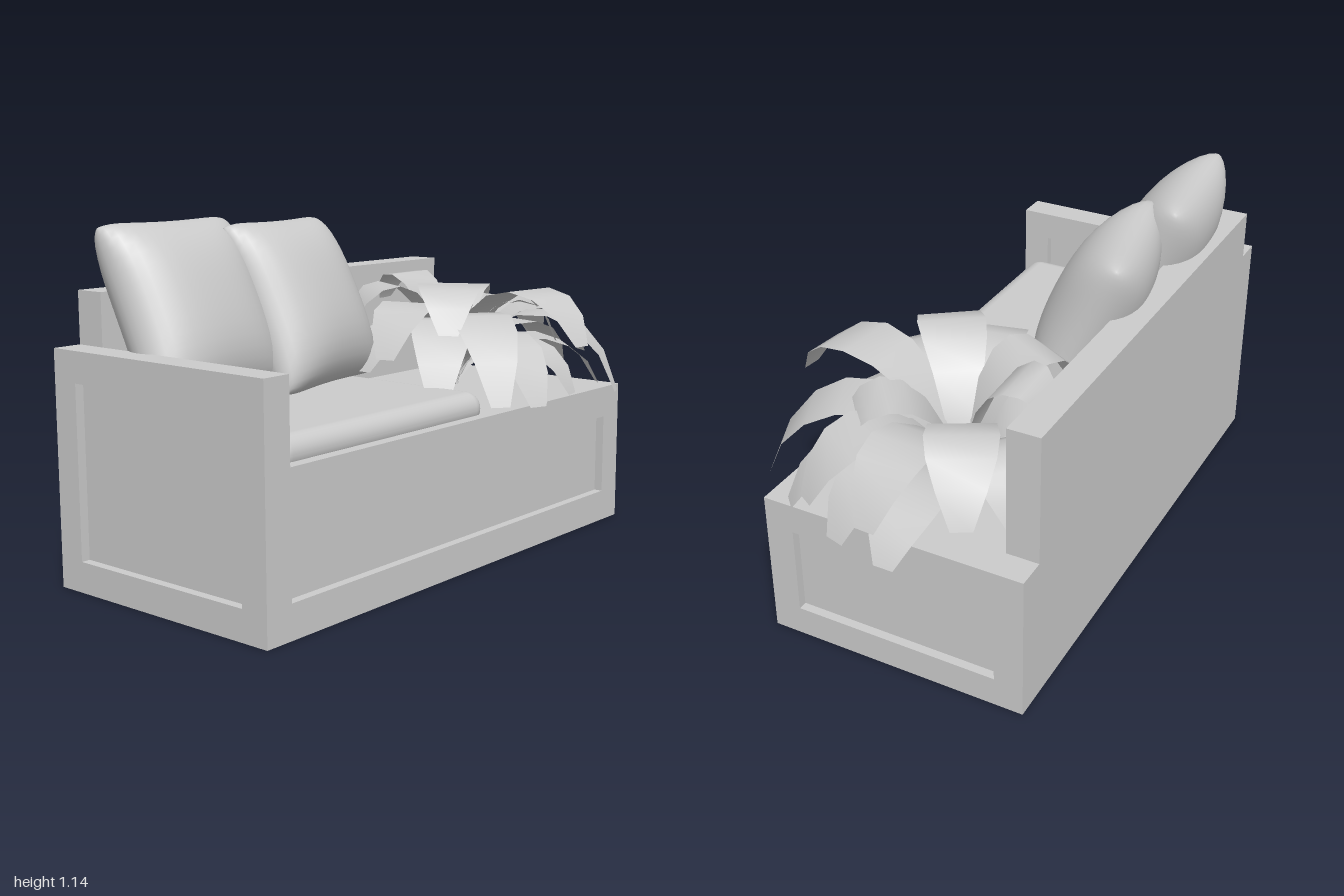
import * as THREE from 'three';
import { mergeVertices, mergeGeometries } from 'three/addons/utils/BufferGeometryUtils.js';
import { RoundedBoxGeometry } from 'three/addons/geometries/RoundedBoxGeometry.js';

const material = new THREE.MeshStandardMaterial({ color: 0xcccccc });
const thinMaterial = new THREE.MeshStandardMaterial({ color: 0xcccccc, side: THREE.DoubleSide });

function add(parent, name, geometry, mat = material) {
  const mesh = new THREE.Mesh(geometry, mat);
  mesh.name = name;
  parent.add(mesh);
  return mesh;
}

// Box geometry given by its lower and upper corners
function block([x0, y0, z0], [x1, y1, z1]) {
  return new THREE.BoxGeometry(x1 - x0, y1 - y0, z1 - z0)
    .translate((x0 + x1) / 2, (y0 + y1) / 2, (z0 + z1) / 2);
}

// Leaves a wall hollow from below by dropping the triangles on the ground
function openBottom(geometry) {
  const g = geometry.index ? geometry.toNonIndexed() : geometry;
  const p = g.attributes.position, kept = [];
  for (let i = 0; i < p.count; i += 3) {
    const corners = [i, i + 1, i + 2];
    if (corners.some((k) => p.getY(k) > 1e-4)) kept.push(...corners);
  }
  g.setIndex(kept);
  return g;
}

// Upright frame with a thin inset panel, lying in XY and 0.1 thick along +z
function framedWall(parent, name, width, height, side, rail) {
  const wall = new THREE.Group();
  wall.name = name;
  const shape = new THREE.Shape();
  shape.moveTo(0, 0).lineTo(width, 0).lineTo(width, height).lineTo(0, height).closePath();
  const hole = new THREE.Path();
  hole.moveTo(side, rail).lineTo(side, height - rail);
  hole.lineTo(width - side, height - rail).lineTo(width - side, rail).closePath();
  shape.holes.push(hole);
  const frame = new THREE.ExtrudeGeometry(shape, { depth: 0.1, bevelEnabled: false });
  add(wall, name + 'Frame', openBottom(frame), thinMaterial);
  add(wall, name + 'Panel', block([side, rail, 0.03], [width - side, height - rail, 0.07]));
  parent.add(wall);
  return wall;
}

// Plump pillow: two bulging sheets joined along a pinched seam
function pillowGeometry(width, height, thickness) {
  const sheets = [1, -1].map((side) => {
    const g = new THREE.PlaneGeometry(2, 2, 20, 20);
    const p = g.attributes.position;
    for (let i = 0; i < p.count; i++) {
      const u = Math.sin(p.getX(i) * Math.PI / 2) * side;
      const v = Math.sin(p.getY(i) * Math.PI / 2);
      const corner = 1 - 0.05 * Math.pow(u * v, 8);
      const bulge = Math.sqrt(Math.max(0, (1 - u ** 4) * (1 - v ** 4)));
      p.setXYZ(i,
        u * corner * (1 - 0.04 * (1 - v * v)) * width / 2,
        v * corner * (1 - 0.04 * (1 - u * u)) * height / 2,
        side * bulge * (0.75 + 0.25 * (1 - u * u) * (1 - v * v)) * thickness / 2);
    }
    g.deleteAttribute('uv');
    g.deleteAttribute('normal');
    return g;
  });
  const g = mergeVertices(mergeGeometries(sheets), 1e-4);
  g.computeVertexNormals();
  return g;
}

// Arching leaf from the root to a blunt tip, widest past its middle
function leafGeometry(root, tip, peak, half) {
  const lift = (peak - 0.125 * (root.y + tip.y)) / 0.75;
  const at = (t, y) => new THREE.Vector3().lerpVectors(root, tip, t).setY(y);
  const spine = new THREE.CubicBezierCurve3(root, at(0.22, lift), at(0.85, lift), tip);
  const side = new THREE.Vector3(root.z - tip.z, 0, tip.x - root.x).normalize();
  const rows = 7, points = [], index = [];
  for (let i = 0; i <= rows; i++) {
    const t = i / rows;
    const c = spine.getPoint(t);
    const w = half * (0.3 + 0.7 * Math.sin(Math.PI * Math.pow(t, 1.25)));
    for (const s of [-1, 1]) points.push(c.x + side.x * w * s, c.y, c.z + side.z * w * s);
    if (i < rows) {
      const a = i * 2;
      index.push(a, a + 1, a + 2, a + 1, a + 3, a + 2);
    }
  }
  const g = new THREE.BufferGeometry();
  g.setAttribute('position', new THREE.Float32BufferAttribute(points, 3));
  g.setIndex(index);
  g.computeVertexNormals();
  return g;
}

export function createModel() {
  const model = new THREE.Group();
  model.name = 'planterBench';

  // Bench body: hollow walls, open underneath
  framedWall(model, 'frontWall', 1.665, 0.5, 0, 0.11).position.set(-0.9, 0, 0.285);
  [['leftWall', 0.5, 0.765], ['armRest', 0.76, -1]].forEach(([name, height, x]) => {
    const wall = framedWall(model, name, 0.893, height, 0.097, 0.1);
    wall.rotation.y = Math.PI / 2;
    wall.position.set(x, 0, 0.385);
  });
  add(model, 'backRest', openBottom(block([-0.9, 0, -0.508], [0.765, 0.93, -0.4])), thinMaterial);
  add(model, 'seatBoard', block([-0.9, 0.46, -0.4], [0.765, 0.5, 0.285]));

  // Seat cushion, partly sunk so that its sides swell near the seat
  const cushion = add(model, 'seatCushion', new RoundedBoxGeometry(0.98, 0.11, 0.745, 4, 0.054));
  cushion.position.set(-0.41, 0.518, -0.025);

  // Leaning pillows: centre, turn, width, height
  [
    [-0.63, 0.858, -0.285, 0.1, 0.6, 0.615],
    [-0.17, 0.847, -0.25, 0.2, 0.585, 0.6],
  ].forEach(([x, y, z, turn, width, height]) => {
    const pillow = add(model, 'pillow', pillowGeometry(width, height, 0.3));
    pillow.position.set(x, y, z);
    pillow.rotation.set(-0.42, turn, 0, 'YXZ');
  });

  // Plant leaves: tip x, tip z, arch height, tip height
  const plant = new THREE.Group();
  plant.name = 'plant';
  const root = new THREE.Vector3(0.47, 0.5, -0.1);
  [
    [0.96, -0.1, 0.63, 0.47], [0.93, 0.18, 0.78, 0.6], [0.85, 0.3, 0.68, 0.5],
    [0.72, 0.46, 0.78, 0.5], [0.57, 0.37, 0.68, 0.5], [0.4, 0.51, 0.87, 0.7],
    [0.28, 0.42, 0.72, 0.5], [0.1, 0.39, 0.8, 0.52], [0.01, 0.2, 0.78, 0.52],
    [-0.05, 0.02, 0.83, 0.66], [0.0, -0.12, 0.74, 0.6], [0.13, -0.29, 0.87, 0.74],
    [0.28, -0.38, 0.72, 0.58], [0.46, -0.4, 0.89, 0.8], [0.7, -0.4, 0.72, 0.55],
    [0.9, -0.33, 0.84, 0.64], [1.0, -0.07, 0.8, 0.62], [0.98, 0.05, 0.72, 0.53],
    [0.09, 0.18, 0.89, 0.74], [0.72, 0.2, 0.82, 0.66],
  ].forEach(([x, z, peak, y]) => {
    add(plant, 'leaf', leafGeometry(root, new THREE.Vector3(x, y, z), peak, 0.11), thinMaterial);
  });
  model.add(plant);
  return model;
}
